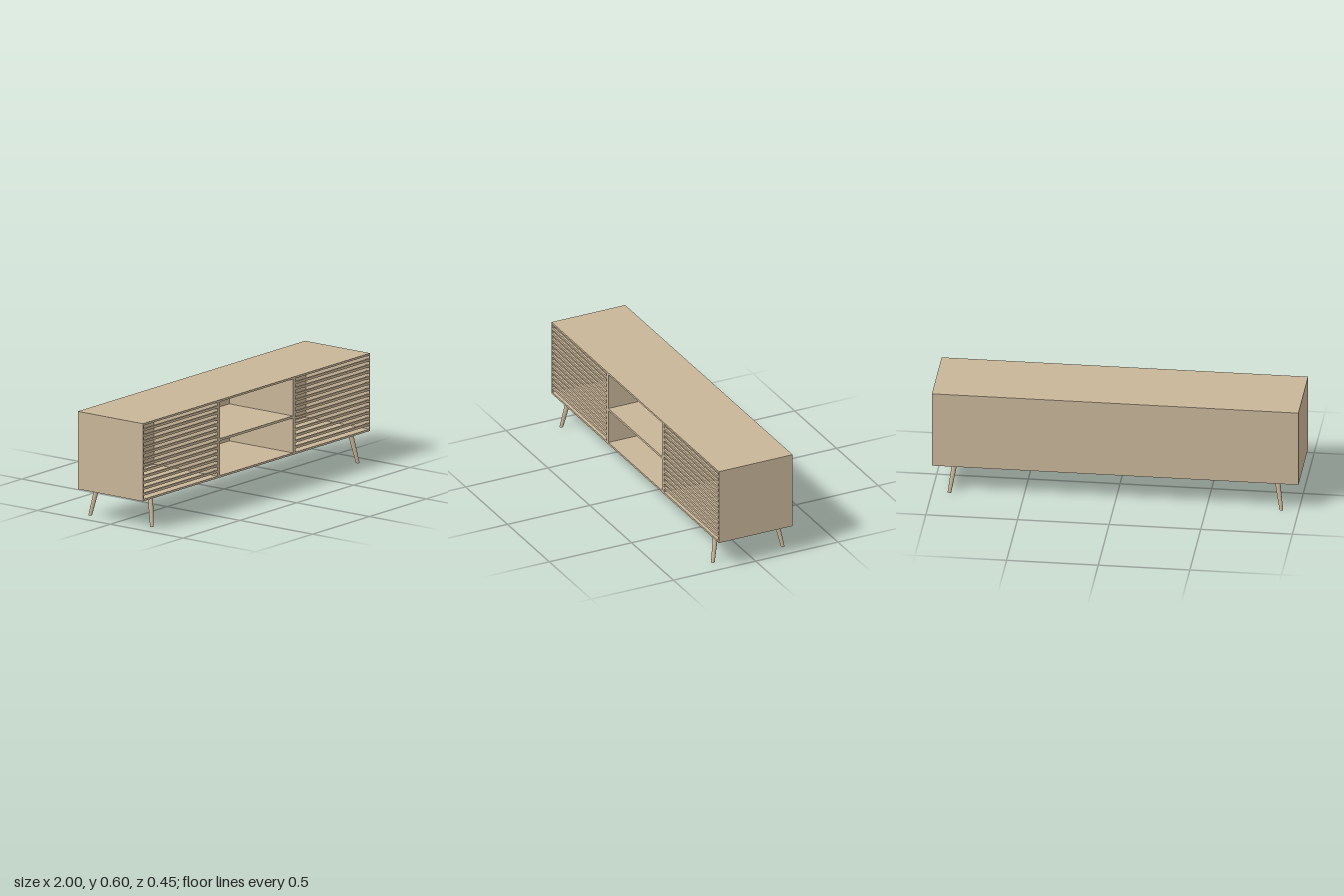
import * as THREE from 'three';

export function createModel() {
  const model = new THREE.Group();
  const wood = new THREE.MeshStandardMaterial({ color: 0xc8b598 });
  wood.name = 'light oak';

  const W = 2, D = 0.448, BOTTOM = 0.162, TOP = 0.596, T = 0.011;
  const midY = (BOTTOM + TOP) / 2, innerH = TOP - BOTTOM - 2 * T;
  const SIDE = 0.008;

  function add(name, geometry, x = 0, y = 0, z = 0) {
    const mesh = new THREE.Mesh(geometry, wood);
    mesh.name = name;
    mesh.position.set(x, y, z);
    model.add(mesh);
    return mesh;
  }
  const box = (name, w, h, d, x, y, z) => add(name, new THREE.BoxGeometry(w, h, d), x, y, z);

  // Cabinet shell
  box('topPanel', W, T, D, 0, TOP - T / 2, 0);
  box('bottomPanel', W, T, D, 0, BOTTOM + T / 2, 0);
  box('backPanel', W - 2 * SIDE, innerH, T, 0, midY, -D / 2 + T / 2);

  // Open centre shelf
  const dividerIn = 0.32, dividerOut = 0.343;
  box('shelf', 2 * dividerIn, 0.013, D - T, 0, 0.373, T / 2);

  // Slatted fronts: horizontal slots cut through a thin panel
  const slots = 13, slotH = 0.0195, doorT = 0.012;
  const slatH = (innerH - slots * slotH) / (slots - 1);
  const doorW = W / 2 - SIDE - dividerOut;

  for (const s of [1, -1]) {
    box('sidePanel', SIDE, innerH, D, s * (W / 2 - SIDE / 2), midY, 0);
    box('divider', dividerOut - dividerIn, innerH, D - T, s * (dividerIn + dividerOut) / 2, midY, T / 2);
    for (let i = 0; i < slots - 1; i++) {
      const y = BOTTOM + T + slotH + slatH / 2 + i * (slotH + slatH);
      box('slat', doorW, slatH, doorT, s * (dividerOut + doorW / 2), y, D / 2 - doorT / 2);
    }
  }

  // Splayed tapered legs with flat feet, sheared outwards
  for (const sx of [1, -1]) {
    for (const sz of [1, -1]) {
      const leg = new THREE.CylinderGeometry(0.0145, 0.01, BOTTOM, 24);
      const shear = new THREE.Matrix4().set(
        1, -sx * 0.025 / BOTTOM, 0, 0,
        0, 1, 0, 0,
        0, -sz * 0.03 / BOTTOM, 1, 0,
        0, 0, 0, 1);
      leg.applyMatrix4(shear);
      add('leg', leg, sx * 0.893, BOTTOM / 2, sz * 0.197);
    }
  }
  return model;
}
